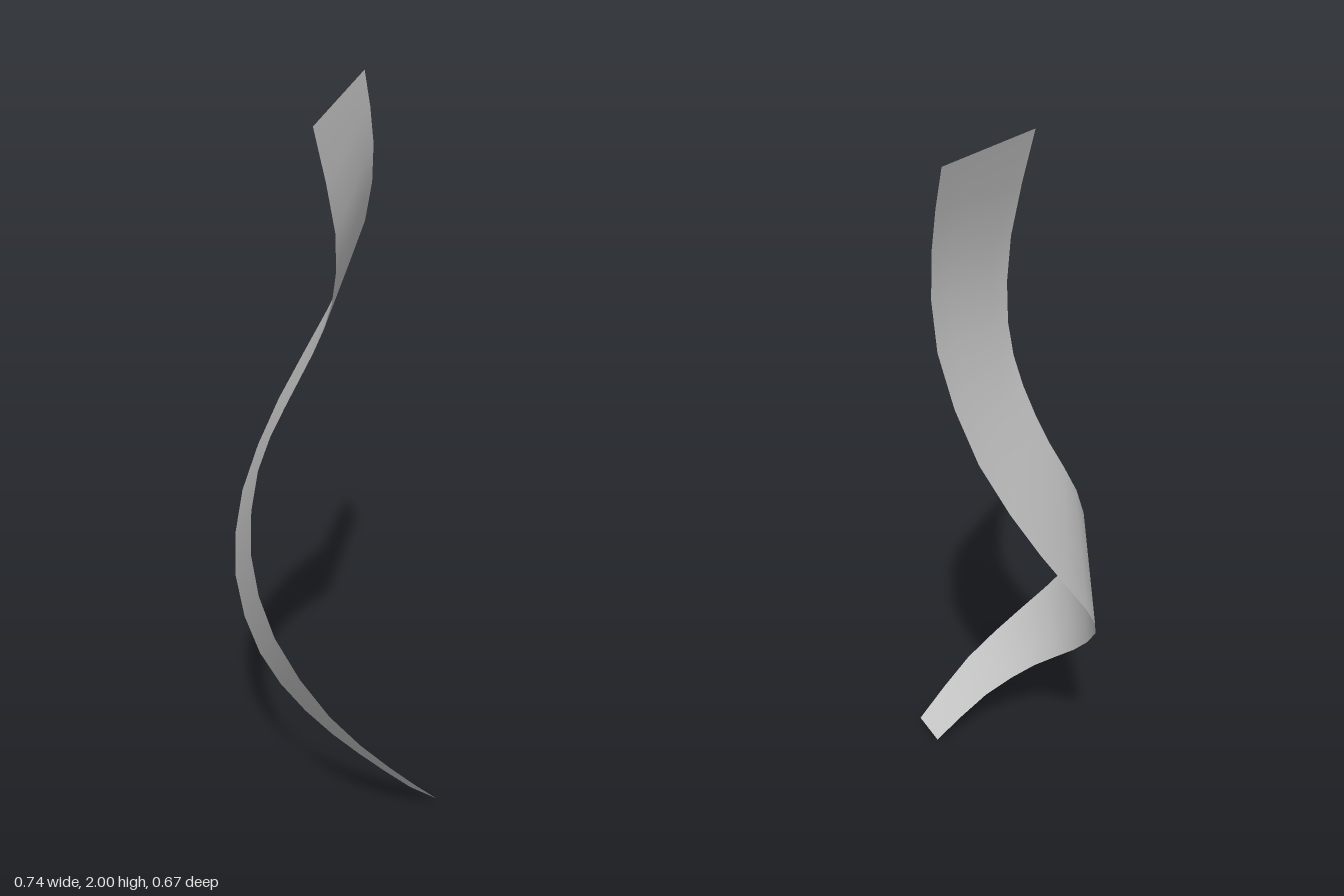
import * as THREE from 'three';

const LENGTH_STEPS = 20;
const WIDTH_STEPS = 4;

// Guide points of the two long edges, from the bottom end to the top end
const leftEdge = [
  [0.262, 0.003, -0.043], [0.19, 0.155, 0.10], [0.067, 0.295, 0.196], [-0.09, 0.43, 0.215],
  [-0.245, 0.60, 0.152], [-0.352, 0.795, 0.01], [-0.364, 1.035, -0.165], [-0.282, 1.305, -0.298],
  [-0.175, 1.573, -0.335], [-0.122, 1.80, -0.306], [-0.137, 2.0, -0.283],
];
const rightEdge = [
  [0.37, 0.02, -0.03], [0.338, 0.20, 0.147], [0.235, 0.385, 0.282], [0.083, 0.59, 0.332],
  [-0.042, 0.785, 0.29], [-0.097, 0.985, 0.20], [-0.073, 1.15, 0.117], [-0.002, 1.31, 0.08],
  [0.075, 1.465, 0.091], [0.15, 1.67, 0.163], [0.163, 1.94, 0.257],
];

const edgeCurve = (points) =>
  new THREE.CatmullRomCurve3(points.map((p) => new THREE.Vector3(...p)), false, 'catmullrom', 0.5);

// Straight rungs between two edge curves, joined into a smooth sheet
function ruledSheet(curveA, curveB) {
  const geometry = new THREE.PlaneGeometry(1, 1, WIDTH_STEPS, LENGTH_STEPS);
  const position = geometry.attributes.position;
  const point = new THREE.Vector3();
  for (let i = 0; i <= LENGTH_STEPS; i++) {
    // plane rows run from top to bottom
    const t = 1 - i / LENGTH_STEPS;
    const a = curveA.getPoint(t);
    const b = curveB.getPoint(t);
    for (let j = 0; j <= WIDTH_STEPS; j++) {
      point.lerpVectors(a, b, j / WIDTH_STEPS);
      position.setXYZ(i * (WIDTH_STEPS + 1) + j, point.x, point.y, point.z);
    }
  }
  geometry.computeVertexNormals();
  return geometry;
}

export function createModel() {
  const group = new THREE.Group();
  group.name = 'twistedRibbon';

  // Thin ribbon, seen from both sides
  const ribbon = new THREE.Mesh(
    ruledSheet(edgeCurve(leftEdge), edgeCurve(rightEdge)),
    new THREE.MeshStandardMaterial({ color: 0xcccccc, side: THREE.DoubleSide }),
  );
  ribbon.name = 'ribbon';
  group.add(ribbon);

  return group;
}
